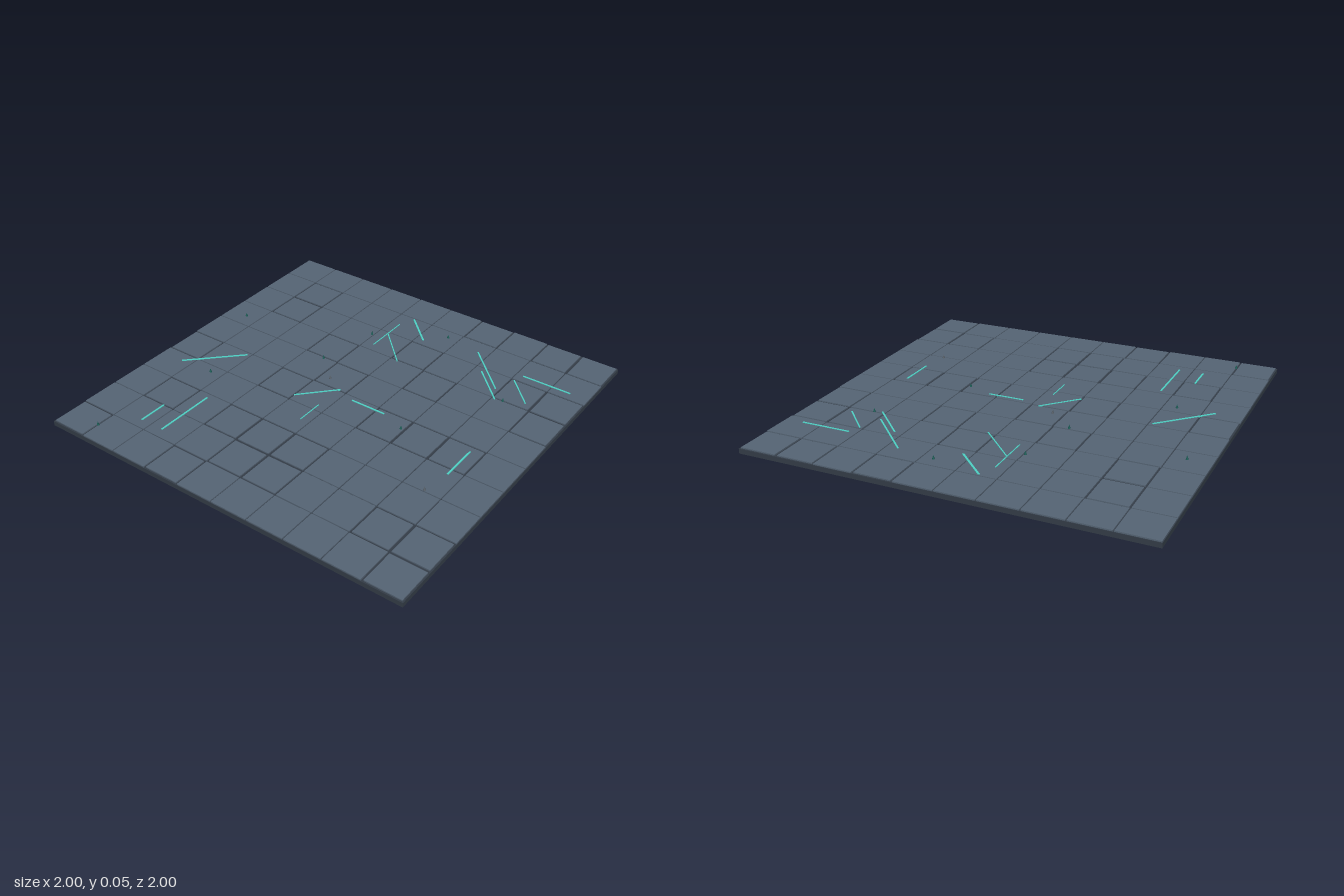
import * as THREE from 'three';

const mat = (name, color) => {
  const m = new THREE.MeshStandardMaterial({ color });
  m.name = name;
  return m;
};

export function createModel() {
  const group = new THREE.Group();
  const stone = mat('slate tile', 0x566575);
  const dark = mat('dark base', 0x343d48);
  const glow = mat('teal glow', 0x4fd1c5);
  const crystal = mat('dark green crystal', 0x1f5f58);
  const grey = mat('grey crystal', 0x59626b);

  const add = (name, geometry, material, x, y, z) => {
    const mesh = new THREE.Mesh(geometry, material);
    mesh.name = name;
    mesh.position.set(x, y, z);
    group.add(mesh);
    return mesh;
  };

  // Foundation slab
  const baseTop = 0.024, tileTop = 0.03;
  add('base', new THREE.BoxGeometry(2, baseTop, 2), dark, 0, baseTop / 2, 0);

  // Floor tiles: s marks a slightly smaller tile with a wider joint
  const rows = [
    's...s.....',
    '..s....ss.',
    '..........',
    's.s.s.s...',
    '.ss..s....',
    '.ss....s..',
    '....s.s..s',
    '....s.....',
    '.s..s..s.s',
    'ss....ss.s',
  ];
  const h = tileTop - baseTop;
  const large = new THREE.BoxGeometry(0.194, h, 0.194);
  const small = new THREE.BoxGeometry(0.185, h, 0.185);
  rows.forEach((row, j) => [...row].forEach((c, i) => {
    add('floorTile', c === 's' ? small : large, stone, -0.9 + i * 0.2, baseTop + h / 2, -0.9 + j * 0.2);
  }));

  // Glowing inlaid strips: start x, z, end x, z, width
  const strips = [
    [-0.26, -0.86, -0.02, -0.62, 0.01],
    [-0.75, -0.66, -0.6, -0.66, 0.009],
    [-0.75, -0.53, -0.43, -0.53, 0.009],
    [-0.16, -0.2, 0.01, -0.04, 0.008],
    [-0.3, -0.05, -0.155, -0.05, 0.005],
    [-0.03, 0.06, -0.03, 0.25, 0.009],
    [0.45, -0.145, 0.7, -0.145, 0.005],
    [0.39, 0.045, 0.58, -0.14, 0.006],
    [0.64, 0.045, 0.79, -0.11, 0.01],
    [0.39, 0.62, 0.565, 0.445, 0.008],
    [0.47, 0.58, 0.71, 0.34, 0.008],
    [0.445, 0.76, 0.59, 0.62, 0.007],
    [0.65, 0.64, 0.65, 0.9, 0.009],
    [-0.24, 0.735, -0.04, 0.735, 0.009],
  ];
  for (const [x1, z1, x2, z2, w] of strips) {
    const length = Math.hypot(x2 - x1, z2 - z1);
    const strip = add('glowStrip', new THREE.BoxGeometry(length, 0.005, w), glow,
      (x1 + x2) / 2, tileTop, (z1 + z2) / 2);
    strip.rotation.y = -Math.atan2(z2 - z1, x2 - x1);
  }

  // Tiny crystal spikes
  const spike = new THREE.ConeGeometry(0.007, 0.02, 5);
  const spikes = [
    [-0.9, -0.8], [0.28, -0.88], [-0.25, -0.67], [0.19, -0.28], [0.53, -0.21],
    [0.74, 0.14], [-0.08, 0.38], [0.4, 0.66], [0.06, -0.14], [-0.39, 0.71],
  ];
  spikes.forEach(([x, z], i) => {
    add('crystalSpike', spike, i < 8 ? crystal : grey, x, tileTop + 0.01, z);
  });

  return group;
}
